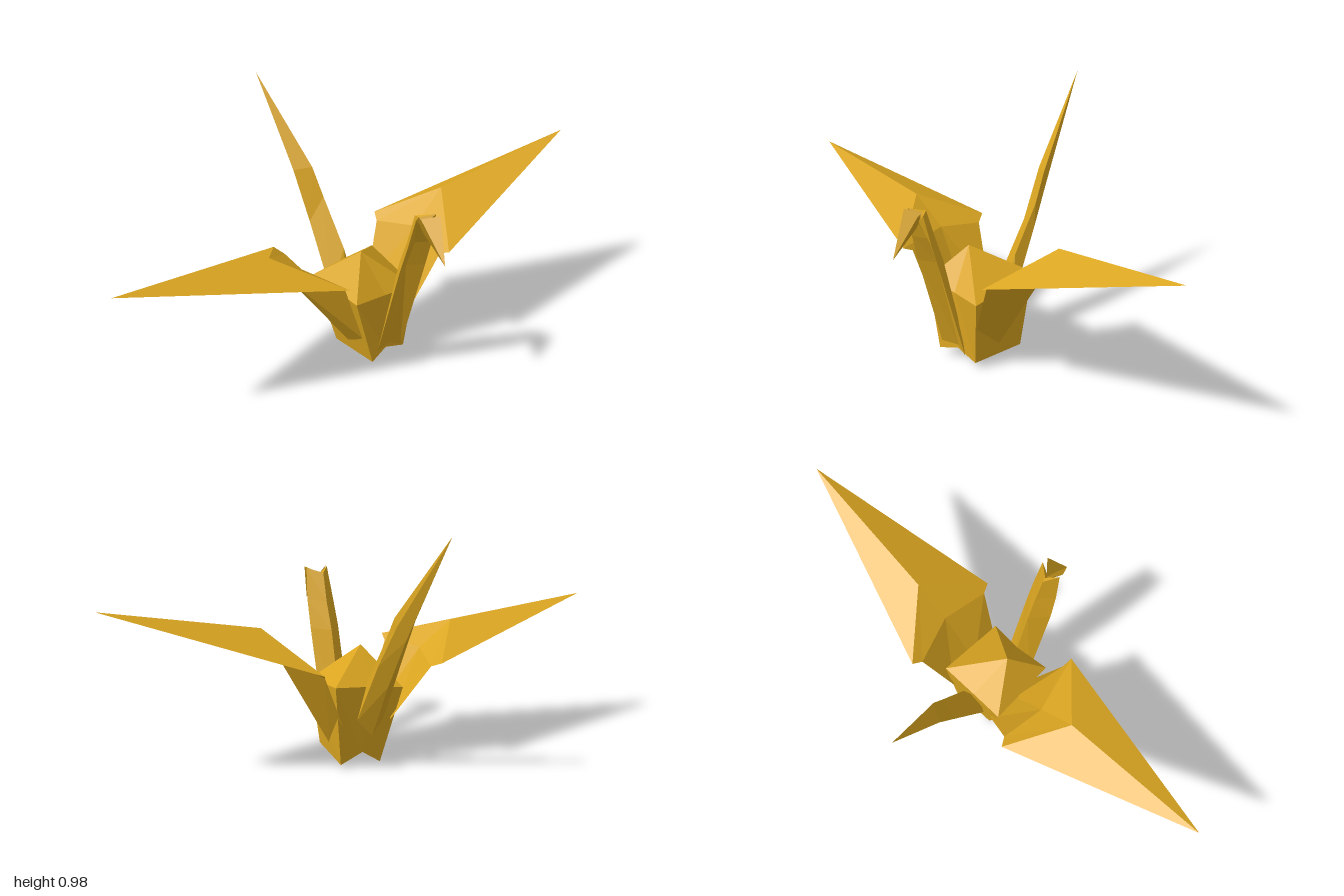
import * as THREE from 'three';

const paper = new THREE.MeshStandardMaterial({ color: 0xdaa520, flatShading: true, side: THREE.DoubleSide });

// Skin a closed folded form over cross-sections; a section with one point is a tip.
function fold(name, sections) {
  const n = Math.max(...sections.map((s) => s.length));
  const rings = sections.map((s) =>
    Array.from({ length: n }, (_, i) => new THREE.Vector3(...s[s.length === 1 ? 0 : i])));
  const tris = [];
  const add = (a, b, c) => {
    if (!a.equals(b) && !b.equals(c) && !c.equals(a)) tris.push([a, b, c]);
  };
  for (let r = 0; r < rings.length - 1; r++) {
    for (let i = 0; i < n; i++) {
      const j = (i + 1) % n, p = rings[r], q = rings[r + 1];
      add(p[i], p[j], q[j]);
      add(p[i], q[j], q[i]);
    }
  }
  // turn all faces outward
  let volume = 0;
  for (const [a, b, c] of tris) volume += a.dot(b.clone().cross(c));
  if (volume < 0) tris.forEach((t) => t.reverse());
  const geometry = new THREE.BufferGeometry().setFromPoints(tris.flat());
  geometry.computeVertexNormals();
  const mesh = new THREE.Mesh(geometry, paper);
  mesh.name = name;
  return mesh;
}

export function createModel() {
  const model = new THREE.Group();
  model.name = 'foldedPaperBird';

  // body: hollowed underside, flared sides, pyramid back
  model.add(fold('body', [
    [[0.03, 0.065, 0.1]],
    [[0.12, 0.03, 0.2], [0.03, 0.06, 0.21], [-0.05, 0.035, 0.235],
      [-0.05, 0.003, -0.015], [0.03, 0.06, -0.03], [0.12, 0.02, -0.03]],
    [[0.15, 0.3, 0.22], [0.02, 0.3, 0.215], [-0.12, 0.31, 0.23],
      [-0.13, 0.31, -0.05], [0.0, 0.33, -0.055], [0.15, 0.345, -0.06]],
    [[-0.02, 0.45, 0.11]],
  ]));

  // wings: each section is front edge, upper fold, back edge, lower fold
  model.add(fold('leftWing', [
    [[0.99, 0.69, 0.083]],
    [[0.26, 0.44, 0.285], [0.4, 0.577, 0.05], [0.23, 0.43, -0.158], [0.34, 0.467, 0.063]],
    [[0.245, 0.425, 0.25], [0.27, 0.45, 0.06], [0.215, 0.41, -0.12], [0.33, 0.45, 0.065]],
    [[0.12, 0.15, 0.2], [0.13, 0.2, 0.08], [0.12, 0.19, -0.05], [0.122, 0.068, 0.085]],
    [[0.1, 0.15, 0.08]],
  ]));
  model.add(fold('rightWing', [
    [[-0.99, 0.57, 0.083]],
    [[-0.19, 0.43, 0.29], [-0.39, 0.522, 0.07], [-0.245, 0.42, -0.15], [-0.3, 0.395, 0.07]],
    [[-0.185, 0.41, 0.25], [-0.25, 0.425, 0.06], [-0.22, 0.4, -0.11], [-0.295, 0.385, 0.07]],
    [[-0.08, 0.14, 0.21], [-0.1, 0.22, 0.08], [-0.085, 0.19, -0.045], [-0.055, 0.05, 0.085]],
    [[-0.04, 0.15, 0.08]],
  ]));

  // neck: a V trough, open to the front, with its crease behind
  model.add(fold('neck', [
    [[0.03, 0.1, 0.2]],
    [[0.09, 0.06, 0.225], [0.04, 0.08, 0.215], [-0.03, 0.08, 0.24], [0.03, 0.12, 0.19]],
    [[0.1, 0.47, 0.345], [0.04, 0.47, 0.31], [-0.02, 0.47, 0.35], [0.035, 0.47, 0.278]],
    [[0.1, 0.58, 0.378], [0.045, 0.58, 0.35], [-0.01, 0.58, 0.38], [0.04, 0.58, 0.318]],
    [[0.092, 0.703, 0.405], [0.045, 0.66, 0.39], [0.005, 0.703, 0.405], [0.04, 0.69, 0.352]],
    [[0.045, 0.69, 0.37]],
  ]));

  // head: bent forward and down to a point
  model.add(fold('head', [
    [[0.045, 0.67, 0.38]],
    [[0.092, 0.705, 0.43], [0.045, 0.685, 0.38], [0.003, 0.705, 0.42], [0.045, 0.637, 0.4]],
    [[0.055, 0.555, 0.513]],
  ]));

  // tail: each section is left edge, lower fold, right edge, upper fold
  model.add(fold('tail', [
    [[0.01, 0.2, -0.02]],
    [[0.06, 0.2, -0.05], [0.0, 0.13, -0.055], [-0.05, 0.2, -0.05], [0.03, 0.36, -0.08]],
    [[0.03, 0.45, -0.18], [-0.01, 0.365, -0.18], [-0.05, 0.45, -0.2], [0.015, 0.54, -0.2]],
    [[0.0, 0.62, -0.275], [-0.03, 0.57, -0.29], [-0.065, 0.64, -0.29], [0.0, 0.65, -0.255]],
    [[-0.09, 0.98, -0.512]],
  ]));

  return model;
}
